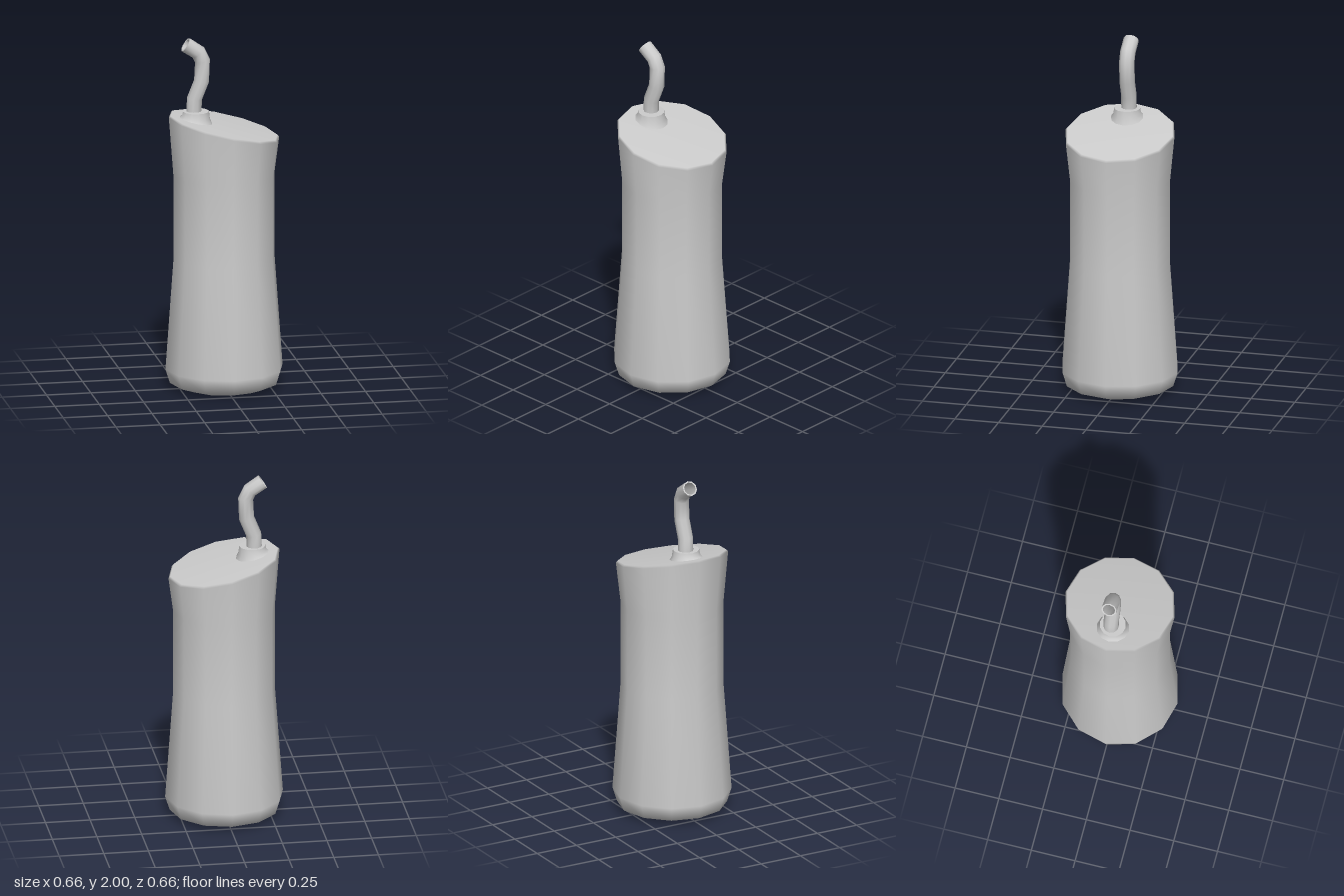
import * as THREE from 'three';
import { mergeVertices, toCreasedNormals } from 'three/addons/utils/BufferGeometryUtils.js';

const SIDES = 12;
const SLOPE = 0.226; // fall of the lid towards +x

const material = new THREE.MeshStandardMaterial({ color: 0xcccccc });

// Lathe whose vertices are sheared along the lid slope by amount(y), with welded smooth normals
function slantedLathe(profile, amount) {
  const geo = new THREE.LatheGeometry(profile.map(([r, y]) => new THREE.Vector2(r, y)), SIDES);
  const p = geo.attributes.position;
  for (let i = 0; i < p.count; i++) {
    p.setY(i, p.getY(i) - SLOPE * p.getX(i) * amount(p.getY(i)));
  }
  geo.deleteAttribute('normal');
  geo.deleteAttribute('uv');
  const welded = mergeVertices(geo, 1e-4);
  welded.computeVertexNormals();
  return welded;
}

// Hollow pipe along a bent path in the xy plane: up the outside, over the rim, down the inside
function bentPipe(path, outer, inner, sides) {
  const pts = path.map(([x, y]) => new THREE.Vector2(x, y));
  const rings = pts.map((c, i) => {
    const before = c.clone().sub(pts[Math.max(i - 1, 0)]).normalize();
    const after = pts[Math.min(i + 1, pts.length - 1)].clone().sub(c).normalize();
    const t = before.add(after).normalize();
    return { c, side: new THREE.Vector2(t.y, -t.x) };
  });
  const loops = [
    ...rings.map((g) => ({ ...g, r: outer })),
    ...rings.slice().reverse().map((g) => ({ ...g, r: inner })),
  ];
  const positions = [];
  const index = [];
  loops.forEach(({ c, side, r }, k) => {
    for (let j = 0; j < sides; j++) {
      const a = (j / sides) * Math.PI * 2;
      const u = r * Math.cos(a);
      positions.push(c.x + side.x * u, c.y + side.y * u, -r * Math.sin(a));
      if (k === loops.length - 1) continue;
      const n = (j + 1) % sides;
      const p = k * sides + j, q = k * sides + n;
      index.push(p, q, q + sides, p, q + sides, p + sides);
    }
  });
  const geo = new THREE.BufferGeometry();
  geo.setAttribute('position', new THREE.Float32BufferAttribute(positions, 3));
  geo.setIndex(index);
  return toCreasedNormals(geo, 1.05);
}

function addPart(group, name, geometry) {
  const mesh = new THREE.Mesh(geometry, material);
  mesh.name = name;
  group.add(mesh);
  return mesh;
}

export function createModel() {
  const group = new THREE.Group();
  group.name = 'drinkBottle';

  // Waisted body with a rounded foot and a slanted, softly bevelled lid
  addPart(group, 'body', slantedLathe([
    [0, 0], [0.22, 0.004], [0.305, 0.035], [0.33, 0.115],
    [0.285, 0.74], [0.285, 1.22], [0.311, 1.485], [0.301, 1.496], [0, 1.496],
  ], (y) => (y > 1.4 ? 1 : 0)));

  // Collar around the straw: its foot follows the lid, its top is level
  const spoutX = -0.158;
  const footY = 1.496 - SLOPE * spoutX;
  const topY = 1.585;
  const collar = addPart(group, 'strawCollar', toCreasedNormals(slantedLathe([
    [0.093, footY - 0.002], [0.079, footY + 0.018], [0.073, topY], [0, topY],
  ], (y) => (topY - y) / (topY - footY)), 0.9));
  collar.position.x = spoutX;

  // Bent hollow straw
  const straw = addPart(group, 'straw', bentPipe([
    [-0.168, 1.57], [-0.165, 1.655], [-0.125, 1.755],
    [-0.12, 1.87], [-0.143, 1.918], [-0.215, 1.966],
  ], 0.043, 0.035, 10));
  straw.position.z = -0.008;

  return group;
}
